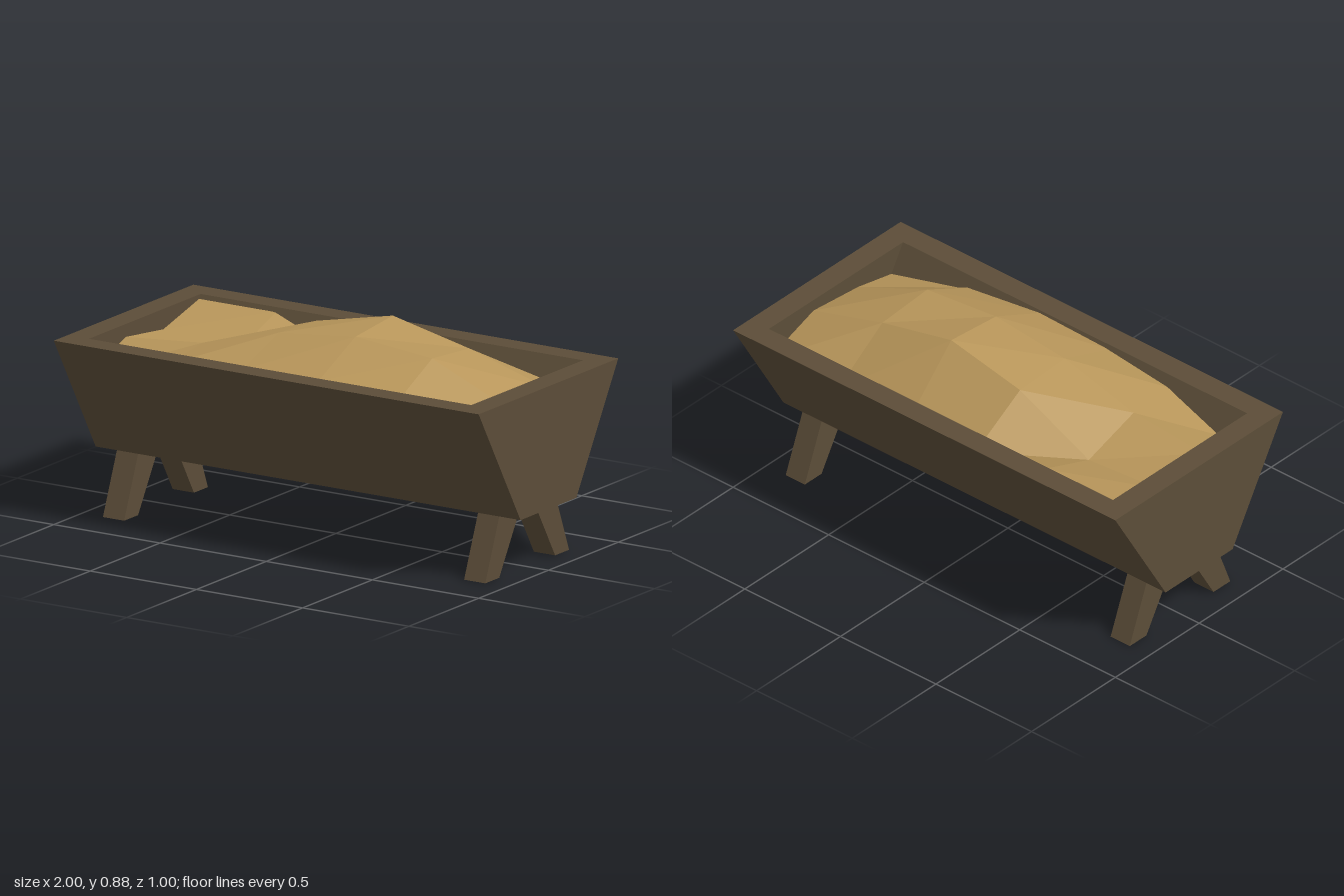
import * as THREE from 'three';

const wood = new THREE.MeshStandardMaterial({ color: 0x5c4d38, flatShading: true });
const hayMaterial = new THREE.MeshStandardMaterial({ color: 0xb8965a, flatShading: true, side: THREE.DoubleSide });

// Extrude a [z, y] profile along x from x0 to x1
function plank(name, profile, x0, x1) {
  const shape = new THREE.Shape(profile.map(([z, y]) => new THREE.Vector2(-z, y)));
  const geometry = new THREE.ExtrudeGeometry(shape, { depth: x1 - x0, bevelEnabled: false });
  geometry.rotateY(Math.PI / 2).translate(x0, 0, 0);
  const mesh = new THREE.Mesh(geometry, wood);
  mesh.name = name;
  return mesh;
}

// Heights of the hay, rows from back to front, columns from -x to +x
const hayHeights = [
  [0.735, 0.735, 0.652, 0.62, 0.626, 0.607],
  [0.667, 0.64, 0.81, 0.885, 0.805, 0.70],
  [0.697, 0.727, 0.823, 0.86, 0.825, 0.675],
  [0.61, 0.697, 0.73, 0.739, 0.697, 0.62],
];

function createHay() {
  const geometry = new THREE.PlaneGeometry(1.8, 0.8, 5, 3).rotateX(-Math.PI / 2);
  const position = geometry.attributes.position;
  hayHeights.flat().forEach((y, i) => position.setY(i, y));
  geometry.computeVertexNormals();
  const mesh = new THREE.Mesh(geometry, hayMaterial);
  mesh.name = 'hay';
  return mesh;
}

export function createModel() {
  const model = new THREE.Group();
  model.name = 'feedingTrough';

  // Trough: sloping sides and floor, closed by two end boards
  const trough = new THREE.Group();
  trough.name = 'trough';
  const sides = [
    [-0.2, 0.25], [0.2, 0.25], [0.5, 0.75], [0.4, 0.75],
    [0.16, 0.35], [-0.16, 0.35], [-0.4, 0.75], [-0.5, 0.75],
  ];
  const end = [[-0.2, 0.25], [0.2, 0.25], [0.5, 0.75], [-0.5, 0.75]];
  trough.add(plank('troughSides', sides, -0.9, 0.9));
  trough.add(plank('rightEndBoard', end, -1, -0.9));
  trough.add(plank('leftEndBoard', end, 0.9, 1));
  model.add(trough);

  // Four splayed legs
  for (const [xName, x0] of [['Right', -0.9], ['Left', 0.8]]) {
    for (const [zName, s] of [['front', 1], ['back', -1]]) {
      const leg = [[0.2, 0], [0.3, 0], [0.2, 0.25], [0.05, 0.25]].map(([z, y]) => [z * s, y]);
      model.add(plank(`${zName}${xName}Leg`, leg, x0, x0 + 0.1));
    }
  }

  model.add(createHay());
  return model;
}
